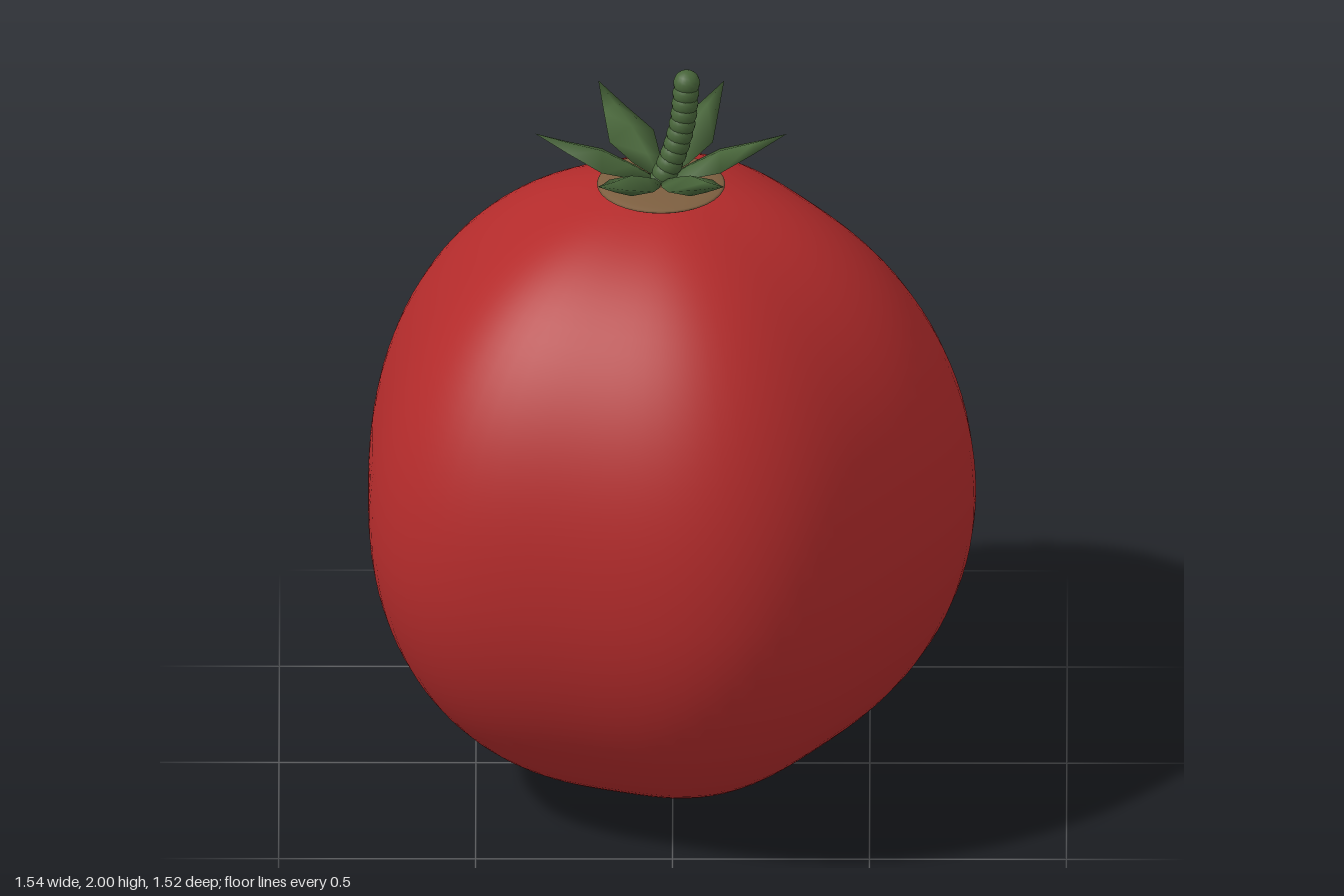
import * as THREE from 'three';
import { mergeVertices } from 'three/addons/utils/BufferGeometryUtils.js';

const AXIS_X = -0.03; // the fruit's axis sits slightly off the bounding-box centre

const material = (name, color) => {
  const m = new THREE.MeshStandardMaterial({ color });
  m.name = name;
  return m;
};

// Weld the lathe seam and smooth the shape again
function smooth(geometry) {
  geometry.deleteAttribute('uv');
  geometry.deleteAttribute('normal');
  const welded = mergeVertices(geometry, 1e-5);
  welded.computeVertexNormals();
  return welded;
}

// Egg-like fruit, taller above its widest line, with five soft lobes
function fruitGeometry() {
  const g = new THREE.SphereGeometry(1, 80, 56);
  const pos = g.attributes.position;
  for (let i = 0; i < pos.count; i++) {
    const x = pos.getX(i), y = pos.getY(i), z = pos.getZ(i);
    const k = 0.772 * (1 + 0.036 * Math.cos(5 * Math.atan2(z, x)));
    pos.setXYZ(i, x * k, 0.79 + y * (y > 0 ? 0.89 : 0.786), z * k * 0.973);
  }
  return smooth(g);
}

// Pointed four-sided sepal lying along +x and rising to its tip
function sepalGeometry() {
  const points = [[0, 0], [0.6, 0.07], [1, 0.15], [0.5, 0.235], [0, 0.32]]
    .map(([w, l]) => new THREE.Vector2(w, l));
  const g = new THREE.LatheGeometry(points, 4);
  g.scale(0.03, 1, 0.065);
  g.rotateZ(-Math.PI / 2);
  const pos = g.attributes.position;
  for (let i = 0; i < pos.count; i++) {
    const r = pos.getX(i);
    pos.setY(i, pos.getY(i) + 1.695 + 0.33 * r + 0.29 * r * r);
  }
  return smooth(g);
}

export function createModel() {
  const red = material('tomato red', 0xb32b2b);
  const green = material('leaf green', 0x48653a);
  const brown = material('scar brown', 0x7d5f40);

  const model = new THREE.Group();
  model.name = 'tomato';
  const plant = new THREE.Group();
  plant.name = 'fruitAndStem';
  plant.position.x = AXIS_X;
  model.add(plant);

  const add = (name, geometry, mat, parent = plant) => {
    const mesh = new THREE.Mesh(geometry, mat);
    mesh.name = name;
    parent.add(mesh);
    return mesh;
  };

  add('fruit', fruitGeometry(), red);

  // Flat corky discs at the top and bottom
  const collar = add('stemCollar', new THREE.SphereGeometry(1, 32, 12), brown);
  collar.scale.set(0.163, 0.014, 0.155);
  collar.position.y = 1.685;
  const scar = add('blossomScar', new THREE.SphereGeometry(1, 24, 10), brown);
  scar.scale.set(0.065, 0.007, 0.065);
  scar.position.y = 0.007;

  // Star of six sepals
  const calyx = new THREE.Group();
  calyx.name = 'calyx';
  plant.add(calyx);
  const sepal = sepalGeometry();
  for (let i = 0; i < 6; i++) {
    add('sepal', sepal, green, calyx).rotation.y = (i * Math.PI) / 3;
  }

  // Bent stem: a slim core with bead-like ridges and a rounded end
  const stem = new THREE.Group();
  stem.name = 'stem';
  plant.add(stem);
  const path = new THREE.CatmullRomCurve3([
    [0, 1.69, 0], [0.032, 1.77, -0.006], [0.055, 1.86, -0.014], [0.065, 1.966, -0.022],
  ].map((p) => new THREE.Vector3(...p)));
  add('stemCore', new THREE.TubeGeometry(path, 24, 0.029, 12), green, stem);
  const bead = new THREE.SphereGeometry(0.034, 16, 12);
  for (let i = 0; i <= 10; i++) {
    add('stemRidge', bead, green, stem).position.copy(path.getPointAt(i / 10));
  }
  return model;
}
